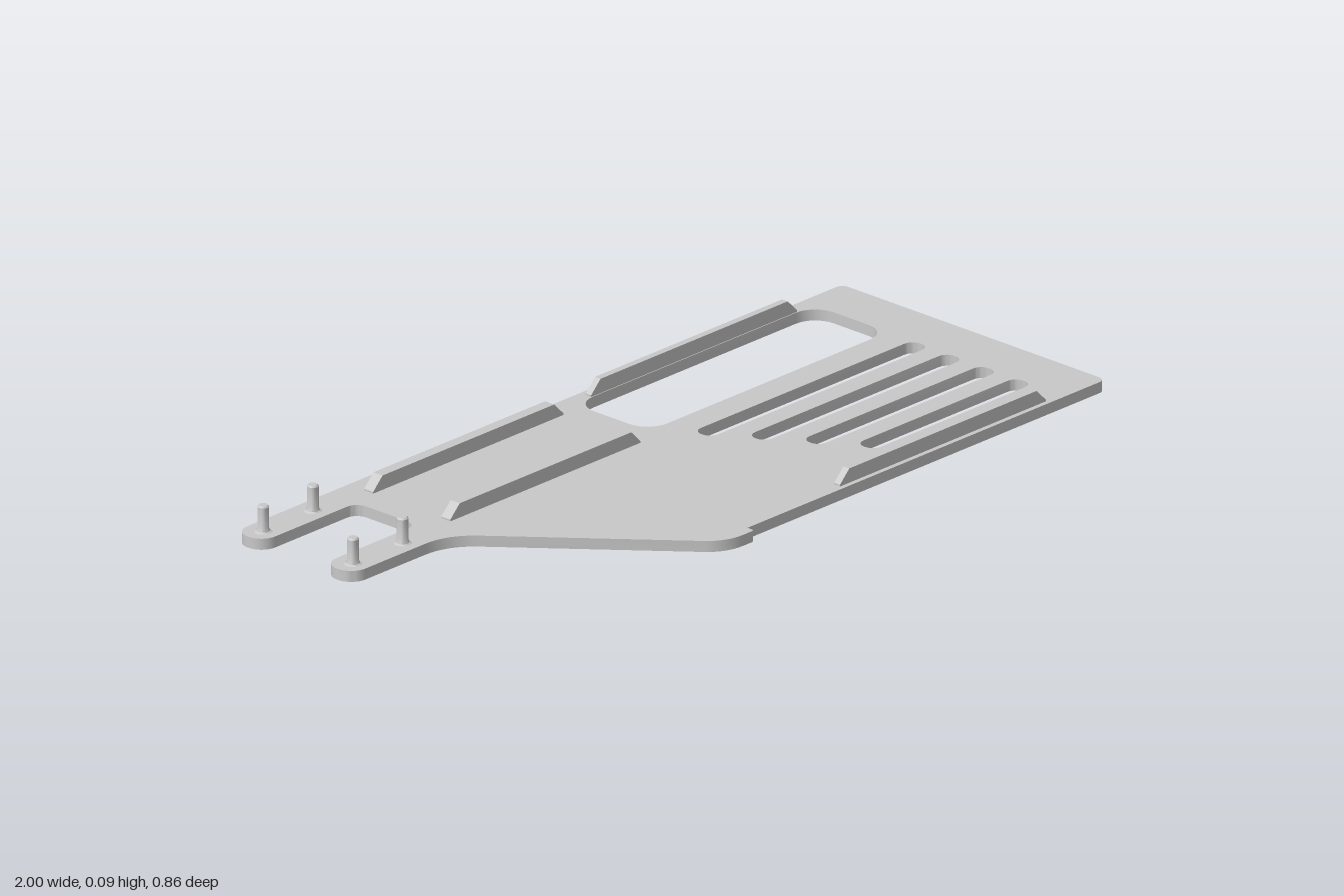
import * as THREE from 'three';
import { toCreasedNormals } from 'three/addons/utils/BufferGeometryUtils.js';

const T = 0.027; // plate thickness

// Polygon of [x, z, radius] corners with true arc fillets, as shape points (y = -z)
function roundedPoints(corners, steps = 8) {
  const n = corners.length, out = [];
  corners.forEach(([x, z, r], i) => {
    const p = new THREE.Vector2(x, -z);
    if (!r) { out.push(p); return; }
    const toward = (c) => new THREE.Vector2(c[0], -c[1]).sub(p).normalize();
    const a = toward(corners[(i + n - 1) % n]);
    const b = toward(corners[(i + 1) % n]);
    const half = Math.acos(a.dot(b)) / 2;
    const t = r / Math.tan(half);
    const c = p.clone().addScaledVector(a.clone().add(b).normalize(), r / Math.sin(half));
    const start = p.clone().addScaledVector(a, t).sub(c).angle();
    let sweep = p.clone().addScaledVector(b, t).sub(c).angle() - start;
    sweep = Math.atan2(Math.sin(sweep), Math.cos(sweep));
    for (let k = 0; k <= steps; k++) {
      const ang = start + (sweep * k) / steps;
      out.push(new THREE.Vector2(c.x + r * Math.cos(ang), c.y + r * Math.sin(ang)));
    }
  });
  return out;
}

// Hole corners, wound opposite to the plate outline so the walls face into the opening
const rect = (x0, x1, z0, z1, r) => [[x0, z0, r], [x0, z1, r], [x1, z1, r], [x1, z0, r]];

export function createModel() {
  const group = new THREE.Group();
  const grey = new THREE.MeshStandardMaterial({ color: 0xc8c8c8 });
  grey.name = 'light grey';

  const add = (name, geometry, x = 0, y = 0, z = 0) => {
    const mesh = new THREE.Mesh(geometry, grey);
    mesh.name = name;
    mesh.position.set(x, y, z);
    group.add(mesh);
  };

  // Base plate with two prongs, a slanted front corner and cut-outs
  const plate = new THREE.Shape(roundedPoints([
    [-1, -0.428, 0.042], [-0.19, -0.428, 0.008], [-0.19, -0.41, 0], [1, -0.41, 0.02],
    [1, 0.407, 0.02], [-0.19, 0.407, 0], [-0.19, 0.428, 0.008], [-0.281, 0.428, 0.11],
    [-0.685, -0.063, 0.15], [-1, -0.063, 0.044], [-1, -0.153, 0.044],
    [-0.688, -0.153, 0.03], [-0.688, -0.341, 0.03], [-1, -0.341, 0.042],
  ]));
  const holes = [rect(0.073, 0.868, -0.374, -0.144, 0.06)];
  for (let i = 0; i < 4; i++) {
    const z = -0.043 + i * 0.1065;
    const x = 0.141 + i * 0.066;
    holes.push(rect(x, 0.868, z - 0.027, z + 0.027, 0.025));
  }
  holes.forEach((h) => plate.holes.push(new THREE.Path(roundedPoints(h))));
  const plateGeo = new THREE.ExtrudeGeometry(plate, { depth: T, bevelEnabled: false });
  plateGeo.rotateX(-Math.PI / 2);
  add('basePlate', toCreasedNormals(plateGeo, 0.5));

  // Rails with sloped ends
  const rail = (name, x0, x1, z0, z1) => {
    const h = 0.035, sink = 0.002, run = 0.031;
    const shape = new THREE.Shape([
      [x0, -sink], [x1, -sink], [x1, 0.004], [x1 - run, h], [x0 + run, h], [x0, 0.004],
    ].map(([x, y]) => new THREE.Vector2(x, y)));
    add(name, new THREE.ExtrudeGeometry(shape, { depth: z1 - z0, bevelEnabled: false }), 0, T, z0);
  };
  rail('backRightRail', -0.622, 0.01, -0.378, -0.35);
  rail('middleRightRail', -0.622, 0.01, -0.139, -0.111);
  rail('backLeftRail', 0.13, 0.814, -0.393, -0.376);
  rail('frontLeftRail', 0.13, 0.814, 0.377, 0.395);

  // Locating pins with a small base fillet and chamfered tip
  const profile = [
    [0.021, -0.001], [0.021, 0], [0.016, 0.003], [0.0135, 0.009],
    [0.0135, 0.061], [0.0105, 0.065], [0, 0.065],
  ].map(([r, y]) => new THREE.Vector2(r, y));
  const pinGeo = toCreasedNormals(new THREE.LatheGeometry(profile, 24), 0.6);
  for (const x of [-0.953, -0.788]) {
    for (const z of [-0.382, -0.104]) add('pin', pinGeo, x, T, z);
  }

  return group;
}
